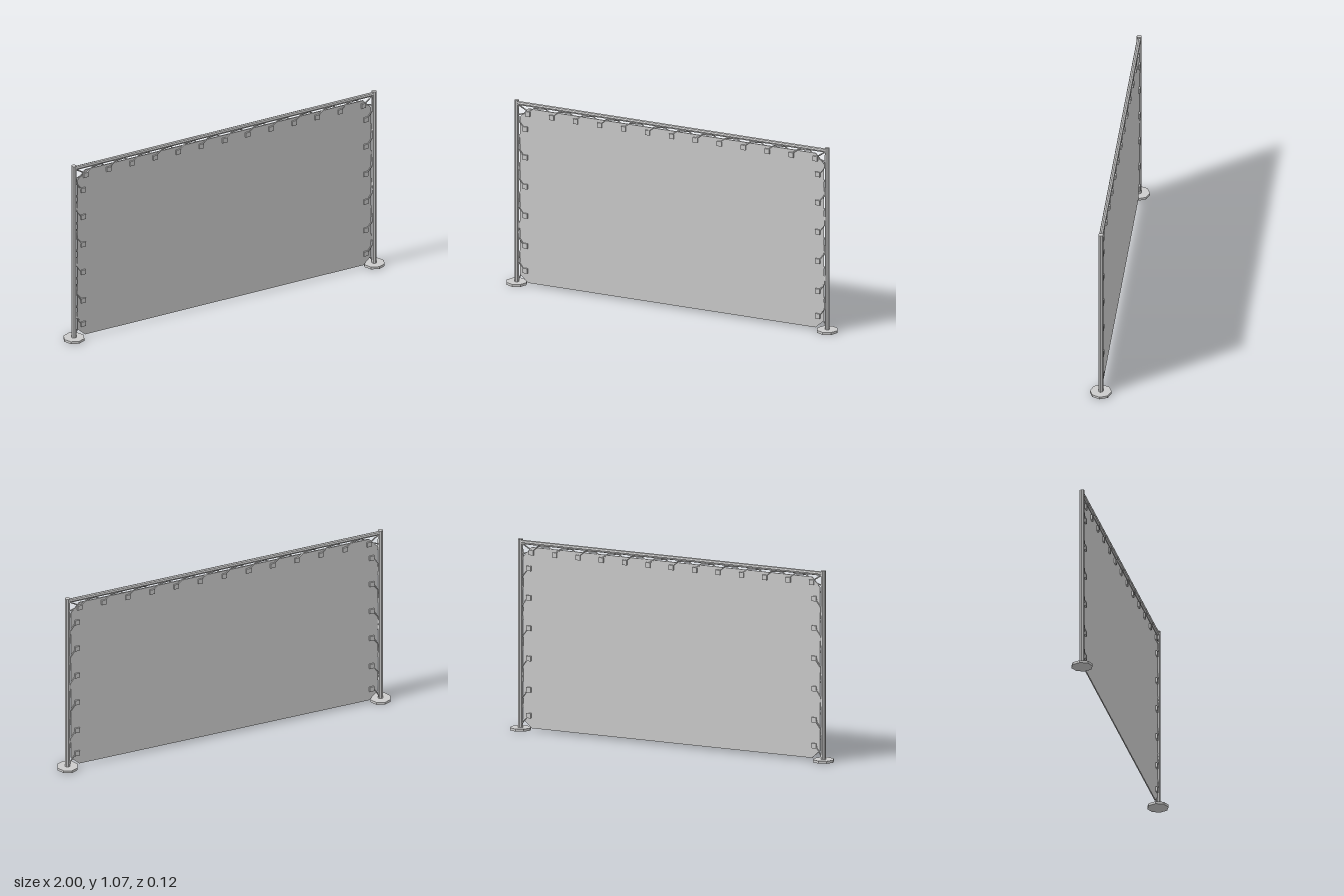
import * as THREE from 'three';

export function createModel() {
  const root = new THREE.Group();
  const mat = new THREE.MeshStandardMaterial({ color: 0xcccccc, flatShading: true });
  const add = (name, geo, x = 0, y = 0, z = 0) => {
    const mesh = new THREE.Mesh(geo, mat);
    mesh.name = name;
    mesh.position.set(x, y, z);
    root.add(mesh);
    return mesh;
  };

  // Posts standing on octagonal feet
  for (const [s, side] of [[1, 'left'], [-1, 'right']]) {
    add(side + 'Foot', new THREE.CylinderGeometry(0.06, 0.06, 0.014, 8), s * 0.94, 0.007);
    add(side + 'Post', new THREE.CylinderGeometry(0.014, 0.014, 1.06, 8), s * 0.94, 0.54);
  }

  // Crossbar between the posts
  add('crossbar', new THREE.CylinderGeometry(0.012, 0.012, 1.88, 8), 0, 1.053).rotation.z = Math.PI / 2;

  // Stretched sheet with cut corners
  const outline = [[0.87, 0.015], [0.92, 0.06], [0.92, 0.975], [0.87, 1.03],
    [-0.87, 1.03], [-0.92, 0.975], [-0.92, 0.06], [-0.87, 0.015]];
  const shape = new THREE.Shape(outline.map(([x, y]) => new THREE.Vector2(x, y)));
  add('sheet', new THREE.ExtrudeGeometry(shape, { depth: 0.006, bevelEnabled: false }), 0, 0, -0.003);

  // Clips gripping the sheet along the top and both sides
  const clip = new THREE.BoxGeometry(0.028, 0.028, 0.024);
  const topX = Array.from({ length: 13 }, (_, i) => (i - 6) * 0.145);
  const sideY = [0.91, 0.745, 0.575, 0.405, 0.23, 0.085];
  for (const x of topX) add('topClip', clip, x, 1.0);
  for (const s of [1, -1]) for (const y of sideY) add('sideClip', clip, s * 0.885, y);

  // Lacing cord: dips to each clip, then follows the frame to the next one
  const cord = (name, points) => {
    const path = new THREE.CurvePath();
    for (let i = 1; i < points.length; i++) {
      path.add(new THREE.LineCurve3(points[i - 1], points[i]));
    }
    add(name, new THREE.TubeGeometry(path, points.length * 8, 0.004, 5));
  };
  const V = (x, y, z = 0) => new THREE.Vector3(x, y, z);

  const topPoints = [V(-0.93, 1.045)];
  topX.forEach((x, i) => {
    if (i > 0) topPoints.push(V(x - 0.042, 1.039, -0.006));
    topPoints.push(V(x - 0.008, 1.012, -0.006), V(x + 0.008, 1.012, 0.006));
    if (i < 12) topPoints.push(V(x + 0.042, 1.039, 0.006));
  });
  topPoints.push(V(0.93, 1.045));
  cord('topCord', topPoints);

  for (const s of [1, -1]) {
    const pts = [V(s * 0.93, 1.04)];
    for (const y of sideY) {
      pts.push(V(s * 0.925, y + 0.045, 0.006), V(s * 0.897, y + 0.008, 0.006),
        V(s * 0.897, y - 0.008, -0.006), V(s * 0.925, y - 0.045, -0.006));
    }
    pts.push(V(s * 0.93, 0.02));
    cord(s > 0 ? 'leftCord' : 'rightCord', pts);
  }

  // Diagonal ties at the top corners
  for (const s of [1, -1]) cord('cornerTie', [V(s * 0.87, 1.005), V(s * 0.935, 0.985)]);

  return root;
}
